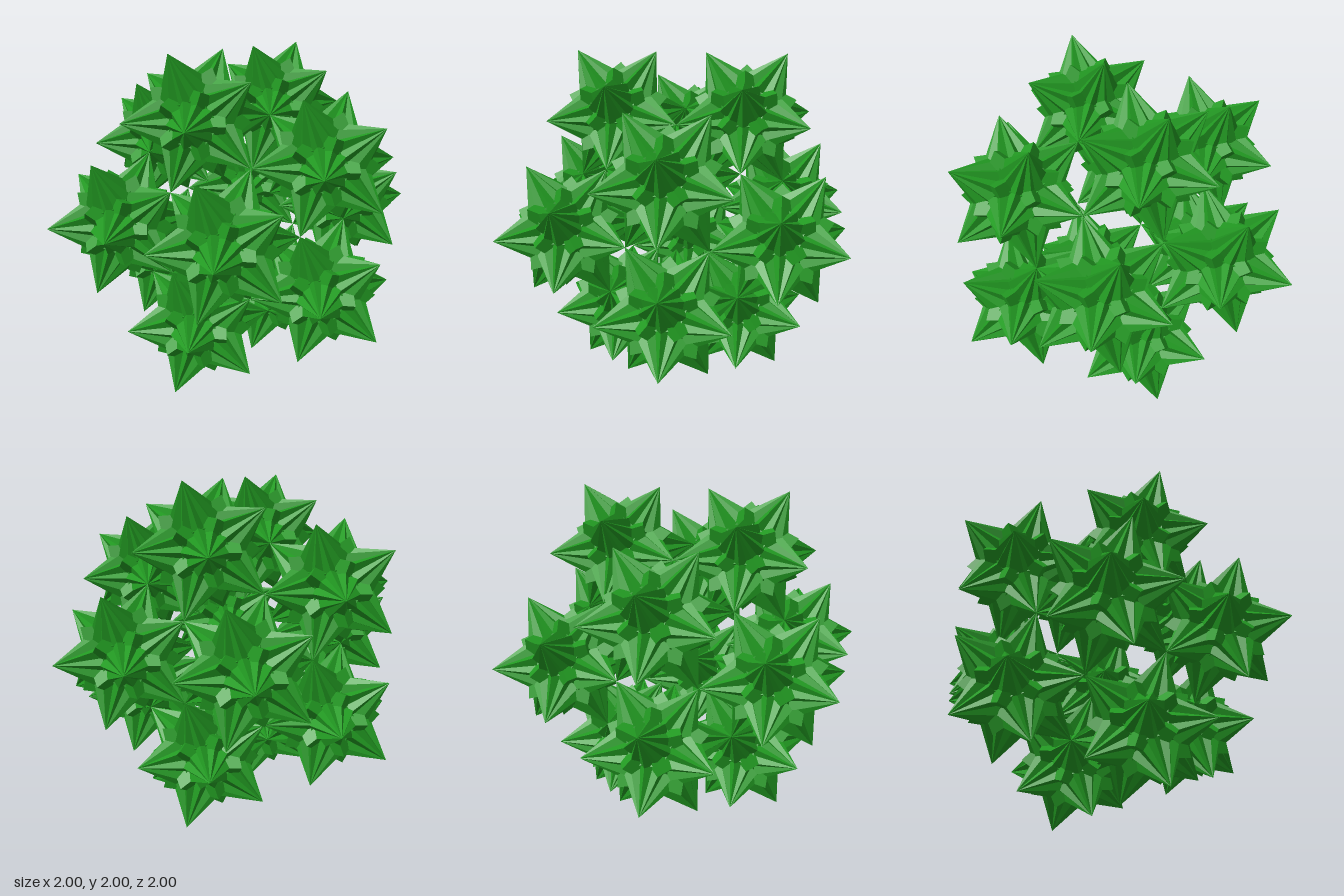
import * as THREE from 'three';

const PHI = (1 + Math.sqrt(5)) / 2;

// The 12 corners of an icosahedron whose largest coordinate is `size`
function icosaCorners(size) {
  const corners = [];
  for (const s of [1, -1]) {
    for (const t of [1, -1]) {
      const a = s * size, b = t * size / PHI;
      corners.push(new THREE.Vector3(0, a, b), new THREE.Vector3(a, b, 0), new THREE.Vector3(b, 0, a));
    }
  }
  return corners;
}

// Star solid: long spikes at the icosahedron corners, joined in large crossing
// triangles, each drawn through the centre to a blunt knob on the opposite side
function starGeometry(size) {
  const tips = icosaCorners(size);
  const radius = tips[0].length();
  const knobRadius = radius * 0.7134;
  const far = (a, b) => a.dot(b) < -0.3 * radius * radius && a.dot(b) > -0.6 * radius * radius;
  const points = [];

  const addFace = (a, b, c) => {
    const outward = new THREE.Vector3().crossVectors(b, c).dot(a) > 0;
    for (const p of outward ? [a, b, c] : [a, c, b]) points.push(p);
  };

  for (let i = 0; i < 12; i++) {
    for (let j = i + 1; j < 12; j++) {
      for (let k = j + 1; k < 12; k++) {
        const [a, b, c] = [tips[i], tips[j], tips[k]];
        if (!far(a, b) || !far(b, c) || !far(a, c)) continue;
        const knob = a.clone().add(b).add(c).setLength(-knobRadius);
        addFace(a, b, knob);
        addFace(b, c, knob);
        addFace(c, a, knob);
      }
    }
  }
  const geometry = new THREE.BufferGeometry().setFromPoints(points);
  geometry.computeVertexNormals();
  return geometry;
}

export function createModel() {
  const model = new THREE.Group();
  model.name = 'starCluster';
  const material = new THREE.MeshStandardMaterial({
    color: 0x229a22, flatShading: true, side: THREE.DoubleSide,
  });
  const geometry = starGeometry(1 / (PHI * PHI));

  // Twelve equal stars, tip to tip on a larger icosahedron
  icosaCorners(1 / PHI).forEach((corner, i) => {
    const star = new THREE.Mesh(geometry, material);
    star.name = `spikedStar${i + 1}`;
    star.position.copy(corner);
    star.position.y += 1;
    model.add(star);
  });
  return model;
}
